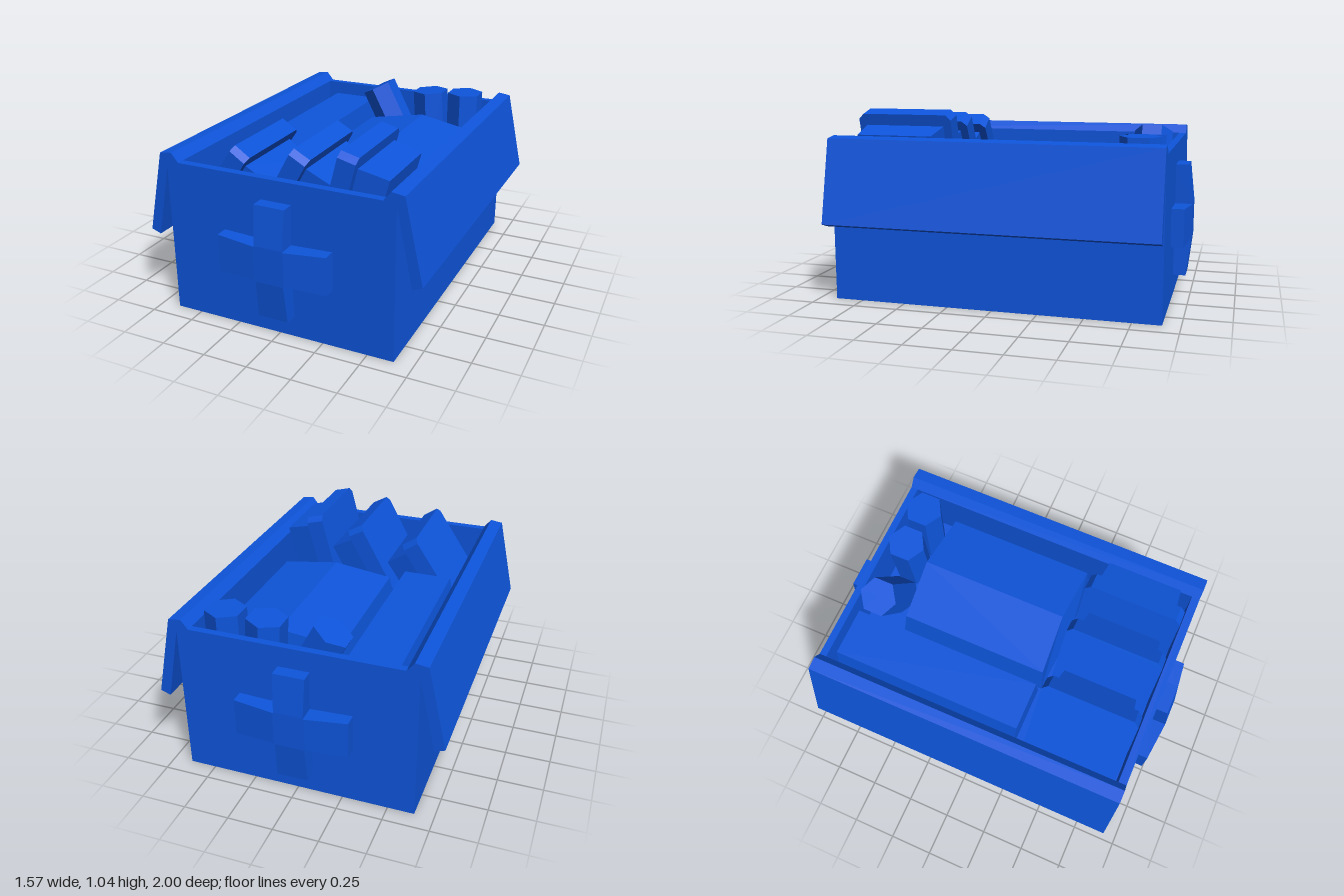
import * as THREE from 'three';

const blue = new THREE.MeshStandardMaterial({ color: 0x0e55dc, flatShading: true });
blue.name = 'blue';

function add(parent, name, geometry) {
  const mesh = new THREE.Mesh(geometry, blue);
  mesh.name = name;
  parent.add(mesh);
  return mesh;
}

const shapeOf = (pts) => new THREE.Shape(pts.map(([x, y]) => new THREE.Vector2(x, y)));
const extrude = (shape, depth) => new THREE.ExtrudeGeometry(shape, { depth, bevelEnabled: false });

// Move every vertex of a geometry by a rule
function reshape(geometry, rule) {
  const p = geometry.attributes.position;
  const v = new THREE.Vector3();
  for (let i = 0; i < p.count; i++) {
    v.fromBufferAttribute(p, i);
    rule(v);
    p.setXYZ(i, v.x, v.y, v.z);
  }
  geometry.computeVertexNormals();
  return geometry;
}

// One bar of the cross: thins and widens from the middle to both tips
function crossBar(half, middle, inner, outer) {
  const g = new THREE.BoxGeometry(2 * half, 2, 0.1, 3, 1, 1);
  return reshape(g, (v) => {
    const tip = Math.abs(v.x) > half * 0.9;
    v.x = Math.sign(v.x) * (tip ? half : middle);
    v.y *= tip ? outer : inner;
    v.z = v.z > 0 ? (tip ? 0.07 : 0.095) : -0.005;
  });
}

function makeCross() {
  const cross = new THREE.Group();
  cross.name = 'cross';
  add(cross, 'crossHorizontalBar', crossBar(0.31, 0.085, 0.095, 0.105));
  add(cross, 'crossVerticalBar', crossBar(0.315, 0.1, 0.08, 0.086)).rotation.z = Math.PI / 2;
  return cross;
}

// Leaning package: chamfered slab with a smaller block on its right
function makePackage(x, y, degrees) {
  const pack = new THREE.Group();
  pack.name = 'package';
  const a = THREE.MathUtils.degToRad(degrees);
  const L = (y - 0.53) / Math.cos(a);
  const slab = extrude(shapeOf([
    [-0.275, -L], [0.275, -L], [0.275, -0.03], [0.245, 0], [-0.245, 0], [-0.275, -0.03],
  ]), 0.1);
  slab.rotateY(-Math.PI / 2).translate(0.1, 0, 0);
  add(pack, 'packageSlab', slab);
  const block = new THREE.BoxGeometry(0.165, L - 0.065, 0.46);
  reshape(block, (v) => { if (v.x > 0) v.z *= 0.93; });
  add(pack, 'packageBlock', block).position.set(0.1825, -(L + 0.065) / 2, 0);
  pack.position.set(x, y, 0.575);
  pack.rotation.z = -a;
  return pack;
}

export function createModel() {
  const model = new THREE.Group();
  model.name = 'medicalSupplyBox';

  // Box: solid lower part and an open rim above it
  const floor = 0.55;
  add(model, 'boxBase', new THREE.BoxGeometry(1.29, floor, 1.81)).position.y = floor / 2;
  const rim = shapeOf([[-0.645, -0.905], [0.645, -0.905], [0.645, 0.905], [-0.645, 0.905]]);
  rim.holes.push(shapeOf([[-0.58, -0.86], [-0.58, 0.865], [0.58, 0.865], [0.58, -0.86]]));
  add(model, 'boxWalls', extrude(rim, 0.865 - floor).rotateX(-Math.PI / 2)).position.y = floor;

  // Folded-out lid flaps on both sides
  for (const s of [1, -1]) {
    const profile = [[0.575, 0.865], [0.64, 0.865], [0.73, 0.43], [0.785, 0.45], [0.685, 0.905], [0.615, 0.915]];
    const flap = extrude(shapeOf(profile.map(([x, y]) => [s * x, y])), 1.81);
    add(model, s > 0 ? 'leftFlap' : 'rightFlap', flap).position.z = -0.905;
  }

  // Crosses on the front and back
  for (const s of [1, -1]) {
    const cross = makeCross();
    cross.position.set(0, 0.435, s * 0.905);
    if (s < 0) cross.rotation.y = Math.PI;
    model.add(cross);
  }

  // Three packages leaning in the front
  for (const [x, y, tilt] of [[-0.275, 0.98, 34], [0.065, 1.015, 29], [0.32, 1.045, 14.5]]) {
    model.add(makePackage(x, y, tilt));
  }

  // Hexagonal bottles at the back: top centre x, y and tilt
  for (const [x, y, tilt] of [[-0.155, 0.91, 28], [0.205, 0.922, 4], [0.437, 0.935, 0]]) {
    const bottle = add(model, 'bottle', new THREE.CylinderGeometry(0.11, 0.11, 0.42, 6).translate(0, -0.21, 0));
    bottle.position.set(x, y, -0.75);
    bottle.rotation.z = THREE.MathUtils.degToRad(tilt);
  }

  // Long bar with sloping sides along the right wall
  const bar = shapeOf([[-0.56, 0.54], [-0.19, 0.54], [-0.235, 0.79], [-0.51, 0.79]]);
  add(model, 'longBar', extrude(bar, 1.1)).position.z = -0.85;

  // Padded bundle with a ridge along its middle
  const pad = reshape(new THREE.BoxGeometry(2, 2, 2, 2, 1, 1), (v) => {
    const top = v.y > 0, mid = Math.abs(v.x) < 0.1;
    v.x = 0.197 + v.x * (top ? 0.337 : 0.375);
    v.y = top ? (mid ? 0.79 : 0.735) : 0.54;
    if (v.z > 0) v.z = top ? (mid ? 0.23 : 0.25) : (mid ? 0.29 : 0.265);
    else v.z = top ? (mid ? -0.63 : -0.605) : (mid ? -0.655 : -0.625);
  });
  add(model, 'paddedBundle', pad);

  return model;
}
